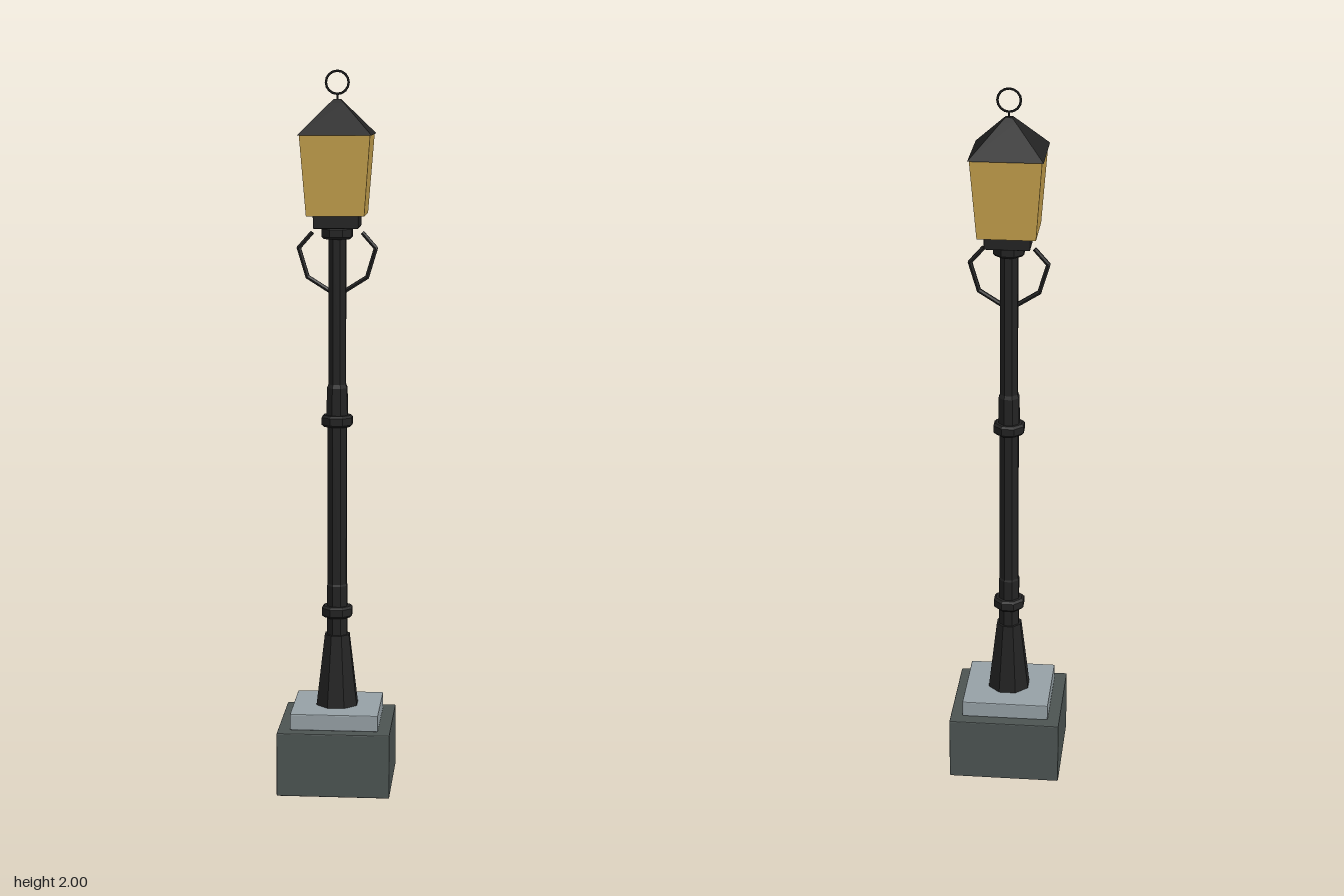
import * as THREE from 'three';
import { RoundedBoxGeometry } from 'three/addons/geometries/RoundedBoxGeometry.js';

export function createModel() {
  const model = new THREE.Group();
  model.name = 'streetLamp';
  const material = (name, color, flatShading = true) => {
    const m = new THREE.MeshStandardMaterial({ color, flatShading });
    m.name = name;
    return m;
  };
  const iron = material('black iron', 0x232323);
  const stone = material('dark stone', 0x4d5553);
  const slab = material('pale stone', 0x97a2a7);
  const glass = material('amber glass', 0xc8a34e);

  const add = (name, geometry, mat, parent = model) => {
    const mesh = new THREE.Mesh(geometry, mat);
    mesh.name = name;
    parent.add(mesh);
    return mesh;
  };

  // Square block with slightly softened edges
  const block = (name, half, y0, y1, mat) =>
    add(name, new RoundedBoxGeometry(half * 2, y1 - y0, half * 2, 1, 0.003), mat)
      .position.y = (y0 + y1) / 2;

  // Square frustum given by half widths
  const frustum = (name, y0, half0, y1, half1, mat) => {
    const g = new THREE.CylinderGeometry(half1 * Math.SQRT2, half0 * Math.SQRT2, y1 - y0, 4);
    g.rotateY(Math.PI / 4);
    add(name, g, mat).position.y = (y0 + y1) / 2;
  };

  // Octagonal turned piece; profile pairs are [half width, height]
  const turned = (name, profile) => {
    const points = profile.map(([w, y]) => new THREE.Vector2(w / Math.cos(Math.PI / 8), y));
    points.unshift(new THREE.Vector2(0, profile[0][1]));
    points.push(new THREE.Vector2(0, profile.at(-1)[1]));
    const g = new THREE.LatheGeometry(points, 8);
    g.rotateY(Math.PI / 8);
    add(name, g, iron);
  };
  const collar = (name, y0, y1, w) =>
    turned(name, [[w - 0.006, y0], [w, y0 + 0.006], [w, y1 - 0.006], [w - 0.006, y1]]);

  // Stone footing
  block('footing', 0.157, 0, 0.181, stone);
  block('slab', 0.123, 0.181, 0.227, slab);

  // Post
  turned('postFoot', [[0.057, 0.226], [0.034, 0.43]]);
  turned('lowerPost', [[0.028, 0.42], [0.028, 0.57], [0.026, 0.575], [0.026, 1.03]]);
  turned('upperPost', [[0.029, 1.03], [0.028, 1.13], [0.024, 1.14], [0.024, 1.55]]);
  collar('lowerCollar', 0.48, 0.512, 0.042);
  collar('middleCollar', 1.022, 1.054, 0.042);
  collar('topCollar', 1.542, 1.575, 0.042);

  // Curled side arms
  for (const side of [1, -1]) {
    const path = new THREE.CurvePath();
    const pts = [[0.012, 1.393], [0.082, 1.437], [0.106, 1.517], [0.07, 1.558]]
      .map(([x, y]) => new THREE.Vector3(x * side, y, 0));
    for (let i = 0; i < 3; i++) path.add(new THREE.LineCurve3(pts[i], pts[i + 1]));
    const arm = new THREE.Group();
    arm.name = side > 0 ? 'leftArm' : 'rightArm';
    model.add(arm);
    path.curves.forEach((line) => {
      const dir = line.v2.clone().sub(line.v1);
      const rod = add('armRod', new THREE.CylinderGeometry(0.0065, 0.0065, dir.length() + 0.004, 6), iron, arm);
      rod.position.copy(line.v1).add(line.v2).multiplyScalar(0.5);
      rod.quaternion.setFromUnitVectors(new THREE.Vector3(0, 1, 0), dir.normalize());
    });
  }

  // Lantern
  block('lanternSeat', 0.062, 1.573, 1.61, iron);
  frustum('lanternGlass', 1.608, 0.079, 1.828, 0.096, glass);
  frustum('roof', 1.826, 0.1, 1.91, 0.02, iron);
  frustum('roofCap', 1.91, 0.02, 1.921, 0.009, iron);

  // Ring on top, with a short stem
  add('ring', new THREE.TorusGeometry(0.031, 0.0033, 6, 16), iron).position.y = 1.9657;
  add('ringStem', new THREE.CylinderGeometry(0.003, 0.003, 0.02, 6), iron).position.y = 1.927;

  return model;
}
